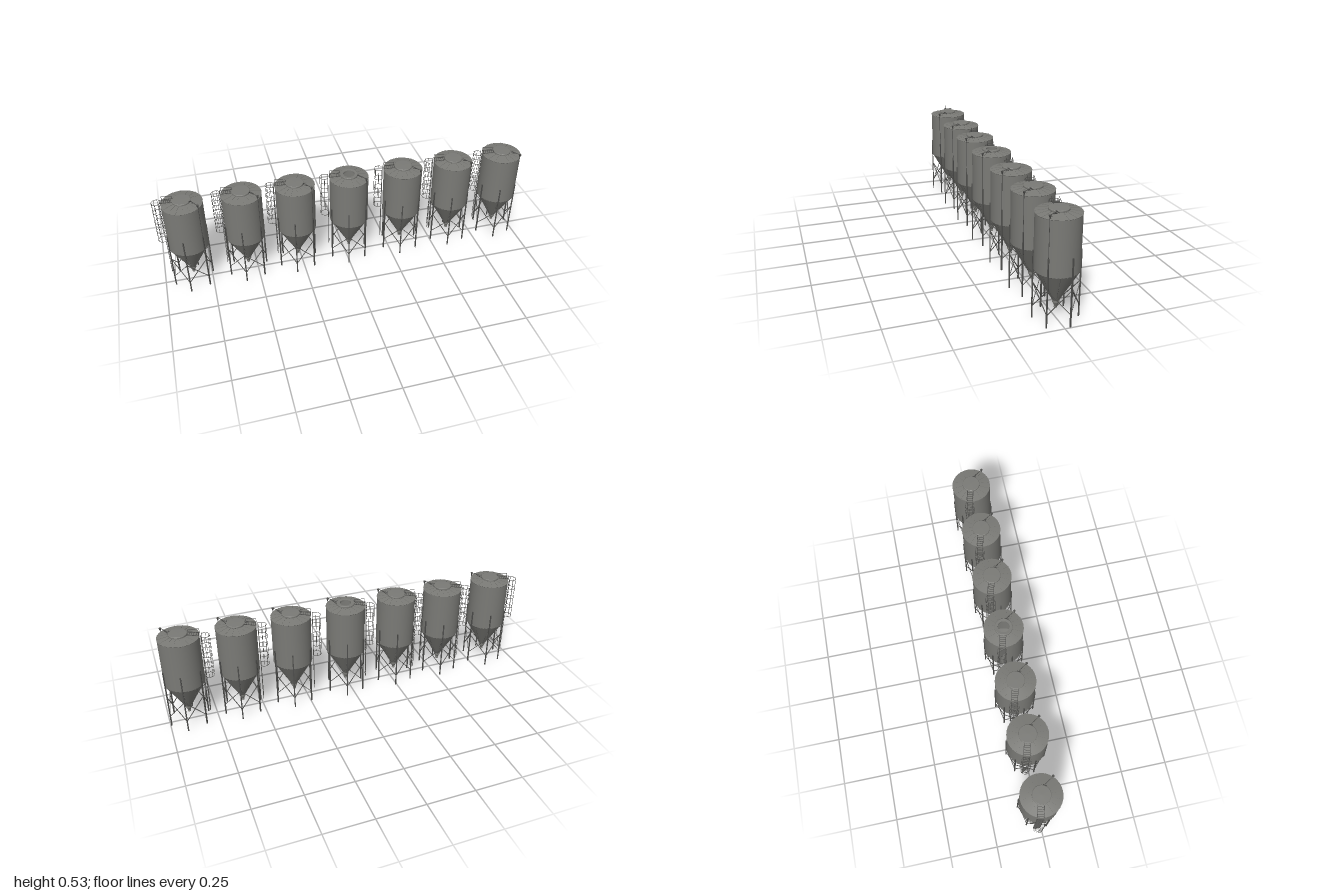
import * as THREE from 'three';
import { mergeGeometries } from 'three/addons/utils/BufferGeometryUtils.js';

const DEG = Math.PI / 180;
const V = (x, y, z) => new THREE.Vector3(x, y, z);
const polar = (r, deg, y) => V(r * Math.cos(deg * DEG), y, r * Math.sin(deg * DEG));

const shell = new THREE.MeshStandardMaterial({ color: 0x7a7a76, side: THREE.DoubleSide });
shell.name = 'shell grey';
const steel = new THREE.MeshStandardMaterial({ color: 0x4e4e4c });
steel.name = 'dark steel';

// square bar from a to b
function bar(a, b, w, d = w) {
  const dir = b.clone().sub(a);
  const g = new THREE.BoxGeometry(w, d, dir.length());
  const m = new THREE.Matrix4();
  const up = Math.abs(dir.y) > 0.99 * dir.length() ? V(a.x, 0, a.z) : V(0, 1, 0);
  m.lookAt(b, a, up);
  m.setPosition(a.clone().add(b).multiplyScalar(0.5));
  return g.applyMatrix4(m);
}

// surface of revolution; each span is its own piece so its edges stay sharp
function turned(points, segments = 32) {
  const spans = [];
  for (let i = 0; i + 1 < points.length; i++) {
    const pair = [points[i], points[i + 1]].map(p => new THREE.Vector2(p[0], p[1]));
    spans.push(new THREE.LatheGeometry(pair, segments));
  }
  return mergeGeometries(spans);
}

const R = 0.103, LEG_R = 0.105, LADDER = 195;
const legAngles = [-15, 45, 105, 165, 225, 285];

// six legs standing outside the shell
function legs() {
  return mergeGeometries(legAngles.map(a => bar(polar(LEG_R, a, 0), polar(LEG_R, a, 0.33), 0.006, 0.006)));
}

// crossed braces between neighbouring legs
function braces() {
  const out = [];
  for (const a of legAngles) {
    out.push(bar(polar(LEG_R, a, 0.06), polar(LEG_R, a + 60, 0.178), 0.003));
    out.push(bar(polar(LEG_R, a, 0.178), polar(LEG_R, a + 60, 0.06), 0.003));
  }
  return mergeGeometries(out);
}

// bolt rows on the hopper seams and around its upper rim
function bolts() {
  const out = [];
  for (let s = 0; s < 8; s++) {
    const a = 15 + s * 45;
    for (let i = 0; i < 12; i++) {
      const at = t => polar(0.0155 + (R - 0.0155) * t, a, 0.086 + 0.156 * t);
      out.push(bar(at((i + 0.25) / 12), at((i + 0.75) / 12), 0.0016));
    }
  }
  for (let i = 0; i < 40; i++) {
    out.push(bar(polar(R + 0.0003, i * 9, 0.243), polar(R + 0.0003, i * 9 + 4.5, 0.243), 0.0016));
  }
  return mergeGeometries(out);
}

// raised seams on the shallow roof
function roofRibs() {
  const out = [];
  for (let i = 0; i < 16; i++) {
    out.push(bar(polar(R + 0.002, i * 22.5, 0.507), polar(0.047, i * 22.5, 0.517), 0.002));
  }
  return mergeGeometries(out);
}

// ladder in a local frame where +x points away from the silo
function ladder() {
  const out = [], x = 0.111, half = 0.0155;
  for (const z of [-half, half]) {
    out.push(bar(V(x, 0.058, z), V(x, 0.512, z), 0.0022));
    out.push(bar(V(0.104, 0.512, z), V(0.046, 0.521, z), 0.0025));
  }
  for (let y = 0.06; y < 0.51; y += 0.0165) out.push(bar(V(x, y, -half), V(x, y, half), 0.0016));
  for (let i = 0; i < 5; i++) {
    const r = 0.1 - i * 0.011;
    out.push(bar(V(r, 0.513 + i * 0.0017, -half), V(r, 0.513 + i * 0.0017, half), 0.002));
  }
  return mergeGeometries(out);
}

// safety cage: hoops joined by upright strips
function cage() {
  const out = [], cx = 0.129, r = 0.0245;
  const spot = (a, y) => V(cx + r * Math.cos(a * DEG), y, r * Math.sin(a * DEG));
  for (let i = 0; i < 5; i++) {
    const y = 0.27 + i * 0.059;
    for (let a = -135; a < 135; a += 27) out.push(bar(spot(a, y), spot(a + 27, y), 0.0012, 0.002));
  }
  for (const a of [-90, -45, 0, 45, 90]) out.push(bar(spot(a, 0.269), spot(a, 0.507), 0.0014));
  return mergeGeometries(out);
}

// grab rails either side of the roof ladder
function grabRails() {
  const out = [];
  for (const z of [-0.0155, 0.0155]) {
    const p = [V(0.104, 0.51, z), V(0.102, 0.534, z), V(0.05, 0.534, z), V(0.048, 0.519, z)];
    for (let i = 0; i < 3; i++) out.push(bar(p[i], p[i + 1], 0.0018));
  }
  return mergeGeometries(out);
}

// lid opener: pull rod down the wall, pulley cup and arm to the hatch
function lidOpener() {
  const cup = new THREE.CylinderGeometry(0.007, 0.002, 0.016, 8);
  cup.translate(0.074, 0.52, 0.073);
  return mergeGeometries([
    bar(polar(R + 0.002, 45, 0.24), polar(R + 0.002, 45, 0.526), 0.002),
    bar(V(0.074, 0.527, 0.076), V(0.044, 0.527, 0.026), 0.0022),
    bar(V(0.06, 0.526, 0.05), V(0.046, 0.518, 0.03), 0.003),
    bar(V(0.046, 0.518, 0.018), V(0.036, 0.528, 0.032), 0.004),
    cup,
  ]);
}

export function createModel() {
  const parts = [
    ['tankWall', turned([[R, 0.242], [R, 0.507]]), shell],
    ['hopper', turned([[0.015, 0.086], [R, 0.242]]), shell],
    ['outlet', turned([[0.0055, 0.05], [0.008, 0.05], [0.008, 0.055], [0.006, 0.057],
      [0.015, 0.077], [0.0165, 0.077], [0.0165, 0.087], [0.015, 0.087]], 16), shell],
    ['roof', turned([[R, 0.505], [R + 0.0015, 0.507], [0.045, 0.516]]), shell],
    ['hatchRim', turned([[0.042, 0.513], [0.0465, 0.517], [0.0465, 0.524], [0.044, 0.526]]), shell],
    ['roofRibs', roofRibs(), shell],
    ['bolts', bolts(), steel],
    ['legs', legs(), steel],
    ['braces', braces(), steel],
    ['lidOpener', lidOpener(), steel],
  ];
  const ladderParts = [['ladder', ladder()], ['safetyCage', cage()], ['grabRails', grabRails()]];
  const lid = turned([[0.044, 0.526], [0, 0.527]]);
  const openRing = turned([[0.044, 0.526], [0.03, 0.525], [0.03, 0.515]]);

  const model = new THREE.Group();
  model.name = 'siloRow';
  const add = (group, name, geometry, material) => {
    const mesh = new THREE.Mesh(geometry, material);
    mesh.name = name;
    group.add(mesh);
  };

  // seven silos in a row; the middle one has its hatch open
  [-0.846, -0.549, -0.271, 0.02, 0.32, 0.607, 0.893].forEach((x, i) => {
    const silo = new THREE.Group();
    silo.name = 'silo' + (i + 1);
    silo.position.x = x;
    for (const [name, geometry, material] of parts) add(silo, name, geometry, material);
    add(silo, i === 3 ? 'openHatchRing' : 'hatchLid', i === 3 ? openRing : lid, shell);
    const access = new THREE.Group();
    access.name = 'accessLadder';
    access.rotation.y = -LADDER * DEG;
    for (const [name, geometry] of ladderParts) add(access, name, geometry, steel);
    silo.add(access);
    model.add(silo);
  });
  return model;
}
